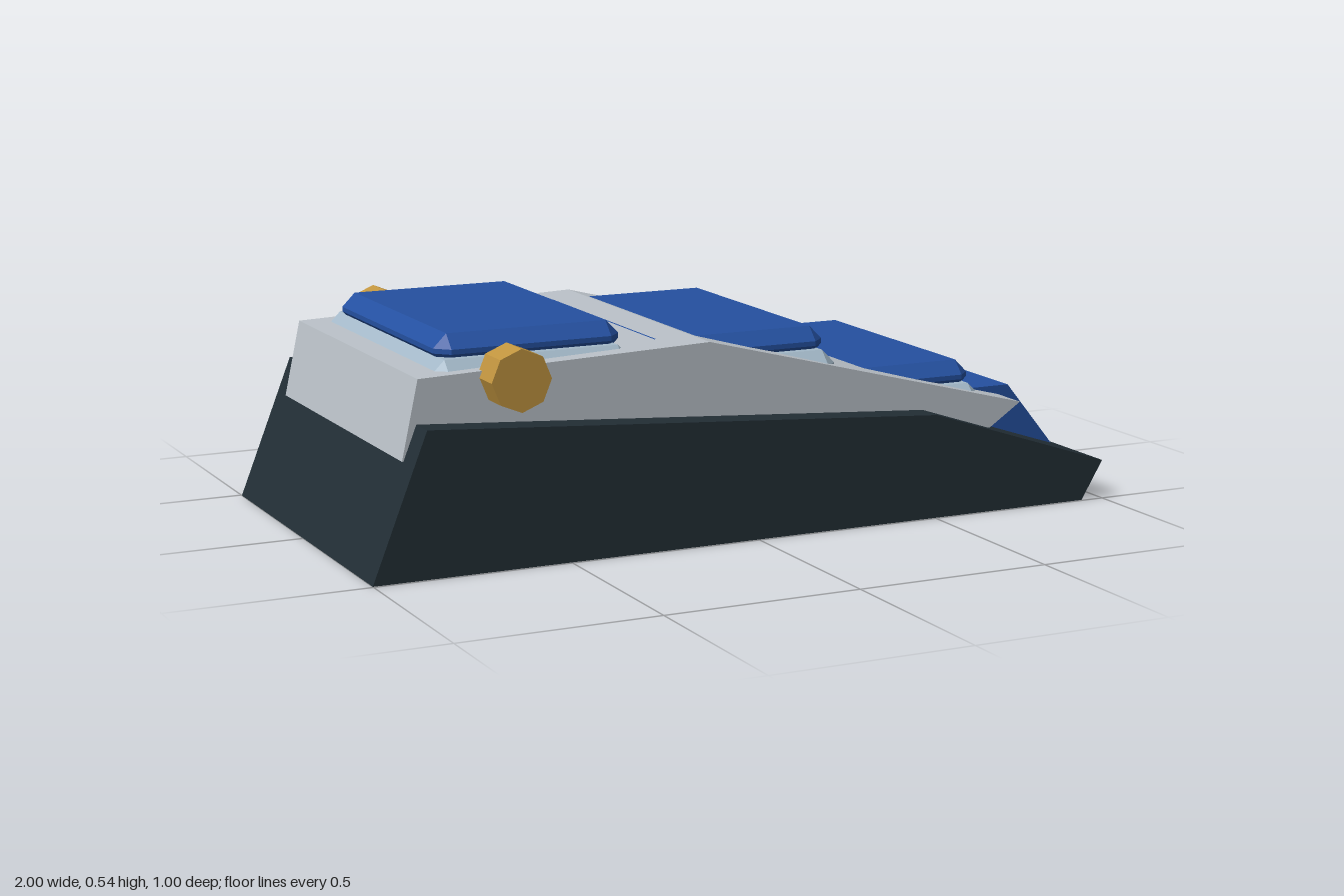
import * as THREE from 'three';
import { ConvexGeometry } from 'three/addons/geometries/ConvexGeometry.js';

const mat = (name, color) => {
  const m = new THREE.MeshStandardMaterial({ color, flatShading: true });
  m.name = name;
  return m;
};

// Side profile in x/y, extruded symmetrically across z
function prism(points, halfWidth) {
  const shape = new THREE.Shape(points.map(([x, y]) => new THREE.Vector2(x, y)));
  return new THREE.ExtrudeGeometry(shape, { depth: halfWidth * 2, bevelEnabled: false })
    .translate(0, 0, -halfWidth);
}

// Box with every edge chamfered
function chamferedSlab(x0, x1, y0, y1, hz, c) {
  const pts = [];
  const cx = (x0 + x1) / 2, cy = (y0 + y1) / 2;
  const hx = (x1 - x0) / 2, hy = (y1 - y0) / 2;
  for (const sx of [-1, 1]) for (const sy of [-1, 1]) for (const sz of [-1, 1]) {
    const add = (x, y, z) => pts.push(new THREE.Vector3(cx + sx * x, cy + sy * y, sz * z));
    add(hx - c, hy, hz - c);
    add(hx, hy - c, hz - c);
    add(hx - c, hy - c, hz);
  }
  return new ConvexGeometry(pts);
}

export function createModel() {
  const group = new THREE.Group();
  const dark = mat('dark slate', 0x222e35);
  const grey = mat('light grey', 0xbac1c8);
  const blue = mat('blue', 0x2450a0);
  const gold = mat('brass', 0xc0943f);
  const pale = mat('pale blue grey', 0xa3b8c8);
  const add = (name, geometry, material) => {
    const mesh = new THREE.Mesh(geometry, material);
    mesh.name = name;
    group.add(mesh);
    return mesh;
  };

  // Wedge-shaped base and the sloping cover on it
  add('base', prism([[-1, 0], [0.94, 0], [1, 0.1], [0.5, 0.265], [-0.86, 0.355]], 0.495), dark);
  add('cover', prism([[-0.897, 0.27], [0.7, 0.2], [0.79, 0.26], [-0.1, 0.488], [-0.855, 0.462]], 0.425), grey);

  // Three stepped pads, each on a wider tray partly sunk in the cover
  const steps = [
    { x0: -0.775, x1: -0.295, top: 0.543 },
    { x0: -0.232, x1: 0.265, top: 0.4848 },
    { x0: 0.21, x1: 0.692, top: 0.363 },
  ];
  steps.forEach(({ x0, x1, top }, i) => {
    add(`pad${i + 1}`, chamferedSlab(x0, x1, top - 0.08, top, 0.352, 0.034), blue);
    add(`tray${i + 1}`, chamferedSlab(x0 - 0.025, x1 + 0.012, top - 0.168, top - 0.054, 0.4, 0.035), pale);
  });

  // Lowest step, sloping down to the toe of the base
  add('frontWedge', prism([[0.6, 0.2], [0.9, 0.11], [0.96, 0.112], [0.82, 0.283], [0.6, 0.283]], 0.317), blue);

  // Octagonal knobs on both sides
  for (const s of [-1, 1]) {
    const knob = add(s > 0 ? 'frontKnob' : 'backKnob', new THREE.CylinderGeometry(0.076, 0.076, 0.092, 8), gold);
    knob.rotation.x = Math.PI / 2;
    knob.position.set(-0.625, 0.451, s * 0.454);
  }
  return group;
}
